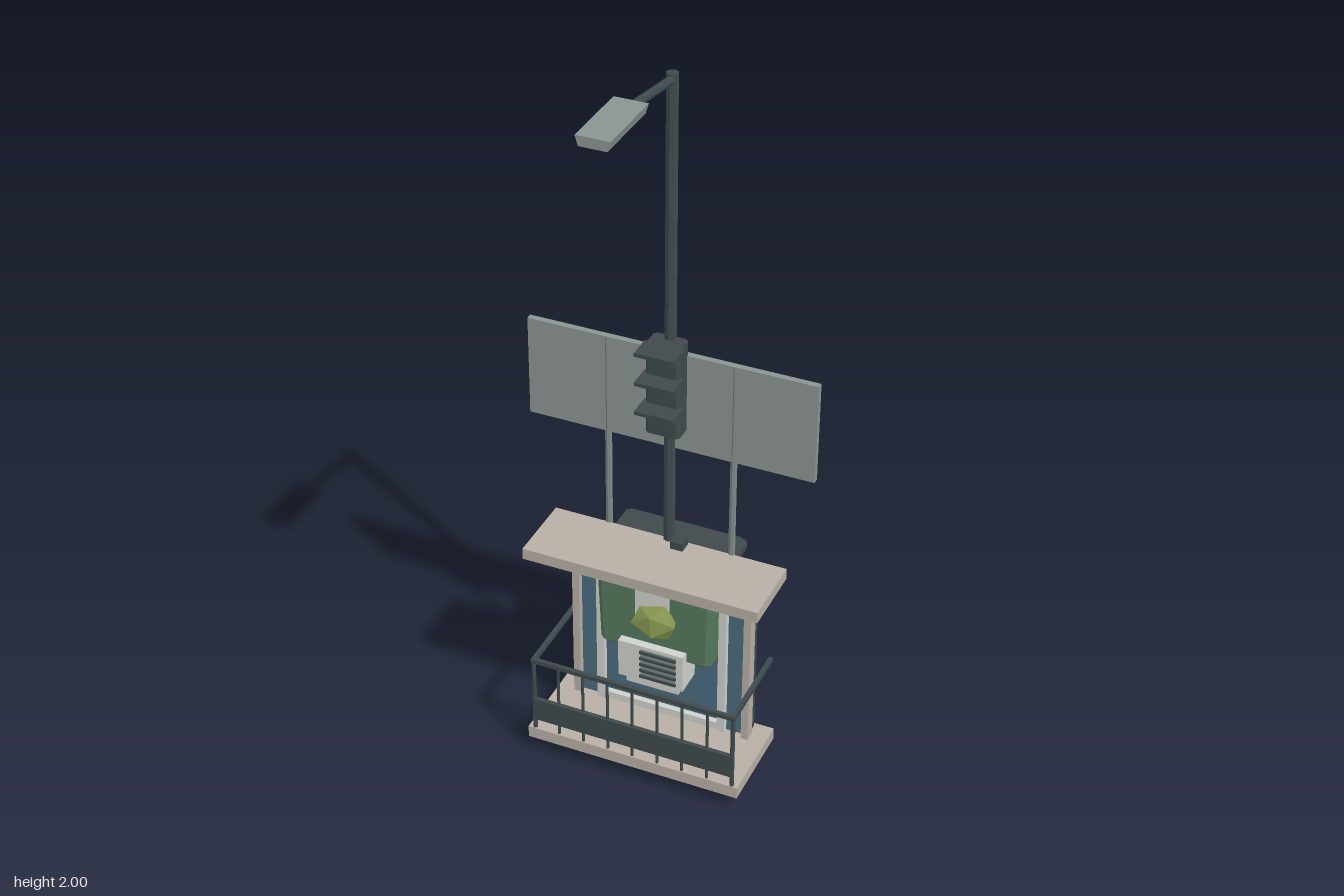
import * as THREE from 'three';

const paint = (color, extra = {}) => new THREE.MeshStandardMaterial({ color, flatShading: true, ...extra });
const M = {
  dark: paint(0x3f4a4c), stone: paint(0xb8afa6), steel: paint(0x7f8886), sign: paint(0x8b9492),
  green: paint(0x55795c), blue: paint(0x4a6b7e), white: paint(0xcfd1cc), olive: paint(0x8a9a52),
};

export function createModel() {
  const model = new THREE.Group();
  const add = (name, geo, mat, parent = model) => {
    const mesh = new THREE.Mesh(geo, mat);
    mesh.name = name;
    parent.add(mesh);
    return mesh;
  };
  const group = (name) => {
    const g = new THREE.Group();
    g.name = name;
    model.add(g);
    return g;
  };
  // Box given by its extents on each axis
  const box = (name, [x0, x1], [y0, y1], [z0, z1], mat, parent) => {
    const mesh = add(name, new THREE.BoxGeometry(x1 - x0, y1 - y0, z1 - z0), mat, parent);
    mesh.position.set((x0 + x1) / 2, (y0 + y1) / 2, (z0 + z1) / 2);
    return mesh;
  };
  // Straight bar between two points
  const bar = (name, a, b, r, mat, parent, sides = 8) => {
    const p = new THREE.Vector3(...a), d = new THREE.Vector3(...b).sub(p);
    const mesh = add(name, new THREE.CylinderGeometry(r, r, d.length(), sides), mat, parent);
    mesh.position.copy(p).addScaledVector(d, 0.5);
    mesh.quaternion.setFromUnitVectors(new THREE.Vector3(0, 1, 0), d.normalize());
    return mesh;
  };
  // Upright block with chamfered corners; the bottom is scaled by taper
  const chamferBlock = (name, w, d, y0, y1, z, c, taper, mat, parent) => {
    const x = w / 2, q = d / 2;
    const shape = new THREE.Shape([[x - c, -q], [x, c - q], [x, q - c], [x - c, q],
      [c - x, q], [-x, q - c], [-x, c - q], [c - x, -q]].map(p => new THREE.Vector2(...p)));
    const geo = new THREE.ExtrudeGeometry(shape, { depth: y1 - y0, bevelEnabled: false });
    geo.rotateX(-Math.PI / 2);
    const pos = geo.attributes.position;
    for (let i = 0; i < pos.count; i++) {
      if (pos.getY(i) < 1e-4) pos.setXYZ(i, pos.getX(i) * taper, 0, pos.getZ(i) * taper);
    }
    geo.computeVertexNormals();
    const mesh = add(name, geo, mat, parent);
    mesh.position.set(0, y0, z);
    return mesh;
  };

  // Slabs and wall
  box('plinth', [-0.28, 0.28], [0.008, 0.035], [-0.16, -0.045], M.stone);
  box('balconySlab', [-0.303, 0.303], [0.045, 0.08], [-0.172, 0.088], M.stone);
  box('roofSlab', [-0.327, 0.327], [0.605, 0.637], [-0.157, 0.042], M.stone);
  box('backWall', [-0.25, 0.25], [0, 0.605], [-0.162, -0.13], M.dark);
  box('roofBlock', [0.02, 0.055], [0.637, 0.66], [-0.152, -0.115], M.dark);

  // Glazed front with inner and outer frames
  const facade = group('windowFront');
  box('glass', [-0.24, 0.24], [0.08, 0.585], [-0.13, -0.118], M.blue, facade);
  for (const s of [-1, 1]) {
    const span = (a, b) => s > 0 ? [a, b] : [-b, -a];
    box('outerJamb', span(0.236, 0.256), [0.08, 0.59], [-0.132, -0.1], M.stone, facade);
    box('innerJamb', span(0.165, 0.187), [0.08, 0.58], [-0.12, -0.102], M.white, facade);
    box('bracket', span(0.165, 0.21), [0.51, 0.537], [-0.105, -0.09], M.stone, facade);
  }
  box('lintel', [-0.256, 0.256], [0.575, 0.59], [-0.132, -0.1], M.steel, facade);
  box('sill', [-0.187, 0.187], [0.085, 0.107], [-0.12, -0.102], M.white, facade);

  // Balcony railing
  const railing = group('railing');
  const rx = 0.285, rz = 0.081;
  box('frontRail', [-rx - 0.006, rx + 0.006], [0.303, 0.315], [rz - 0.006, rz + 0.006], M.dark, railing);
  for (const s of [-1, 1]) {
    box('sideRail', [s * rx - 0.006, s * rx + 0.006], [0.303, 0.315], [-0.18, rz], M.dark, railing);
  }
  for (let i = 0; i < 9; i++) {
    const x = -rx + i * rx / 4;
    bar('baluster', [x, 0.08, rz], [x, 0.305, rz], i % 8 ? 0.004 : 0.006, M.dark, railing, 6);
  }
  box('railPanel', [-0.288, 0.288], [0.112, 0.182], [rz - 0.005, rz + 0.007], M.dark, railing);

  // Waste container set through the wall
  const bin = group('wasteContainer');
  chamferBlock('binBody', 0.335, 0.205, 0.325, 0.588, -0.157, 0.015, 0.95, M.green, bin);
  chamferBlock('binLid', 0.35, 0.23, 0.583, 0.6, -0.16, 0.01, 1, M.dark, bin);
  chamferBlock('binLidTop', 0.336, 0.216, 0.6, 0.611, -0.16, 0.01, 1.04, M.dark, bin);
  for (const s of [-1, 1]) {
    bar('binTrunnion', [s * 0.16, 0.513, -0.187], [s * 0.185, 0.513, -0.187], 0.013, M.steel, bin);
    box('binHandle', [s * 0.18 - 0.005, s * 0.18 + 0.005], [0.502, 0.524], [-0.218, -0.155], M.steel, bin);
    for (const z of [-0.085, -0.232]) {
      box('casterPlate', [s * 0.125 - 0.02, s * 0.125 + 0.02], [0.318, 0.335], [z - 0.018, z + 0.018], M.dark, bin);
      bar('casterWheel', [s * 0.125 - 0.012, 0.318, z], [s * 0.125 + 0.012, 0.318, z], 0.013, M.dark, bin, 10);
    }
  }
  const drain = add('drainRing', new THREE.TorusGeometry(0.032, 0.007, 6, 16), M.stone, bin);
  drain.rotation.x = Math.PI / 2;
  drain.position.set(0, 0.322, -0.2);
  bar('drainCap', [0, 0.316, -0.2], [0, 0.33, -0.2], 0.022, M.olive, bin, 12);
  box('notice', [-0.05, 0.045], [0.43, 0.53], [-0.056, -0.05], M.white, bin);

  // Crumpled bag on the container front
  const bagGeo = new THREE.IcosahedronGeometry(1, 0);
  const bp = bagGeo.attributes.position;
  for (let i = 0; i < bp.count; i++) {
    const k = 1 + 0.2 * Math.sin(bp.getX(i) * 7 + bp.getY(i) * 4 + bp.getZ(i) * 5);
    bp.setXYZ(i, bp.getX(i) * k, bp.getY(i) * k, bp.getZ(i) * k);
  }
  bagGeo.computeVertexNormals();
  const bag = add('crumpledBag', bagGeo, M.olive);
  bag.scale.set(0.068, 0.055, 0.03);
  bag.rotation.z = 0.15;
  bag.position.set(0.005, 0.44, -0.048);

  // Air conditioner
  const ac = group('airConditioner');
  box('acCase', [-0.093, 0.093], [0.24, 0.355], [-0.12, -0.036], M.white, ac);
  box('acBase', [-0.075, 0.075], [0.213, 0.24], [-0.12, -0.05], M.white, ac);
  box('acGrille', [-0.028, 0.072], [0.25, 0.345], [-0.05, -0.034], M.steel, ac);
  for (let i = 0; i < 5; i++) {
    const y = 0.257 + i * 0.02;
    box('acSlat', [-0.03, 0.074], [y - 0.004, y + 0.004], [-0.04, -0.03], M.dark, ac);
  }

  // Sign board on two posts
  const sign = group('signBoard');
  box('signPanel', [-0.392, 0.392], [0.927, 1.21], [-0.17, -0.153], M.sign, sign);
  for (const s of [-1, 1]) {
    bar('signPost', [s * 0.173, 0.3, -0.161], [s * 0.173, 1.205, -0.161], 0.0095, M.steel, sign);
  }

  // Street lamp
  const lamp = group('streetLamp');
  bar('pole', [0, 0, -0.156], [0, 1.965, -0.156], 0.016, M.dark, lamp);
  bar('arm', [0, 1.948, -0.156], [0, 1.986, 0.09], 0.011, M.dark, lamp);
  const headGeo = new THREE.BoxGeometry(0.086, 0.026, 0.202);
  const hp = headGeo.attributes.position;
  for (let i = 0; i < hp.count; i++) if (hp.getY(i) < 0) hp.setX(i, hp.getX(i) * 0.82);
  headGeo.computeVertexNormals();
  add('lampHead', headGeo, M.sign, lamp).position.set(0, 1.987, 0.174);

  // Traffic signal with three visors
  const signal = group('trafficSignal');
  chamferBlock('signalBody', 0.092, 0.062, 0.99, 1.25, -0.134, 0.008, 1, M.dark, signal);
  for (let i = 0; i < 3; i++) {
    const y = 1.245 - i * 0.085;
    box('visor', [-0.053, 0.053], [y - 0.005, y + 0.005], [-0.12, -0.053], M.dark, signal);
    bar('lens', [0, y - 0.045, -0.11], [0, y - 0.045, -0.099], 0.028, M.dark, signal, 12);
  }
  return model;
}
